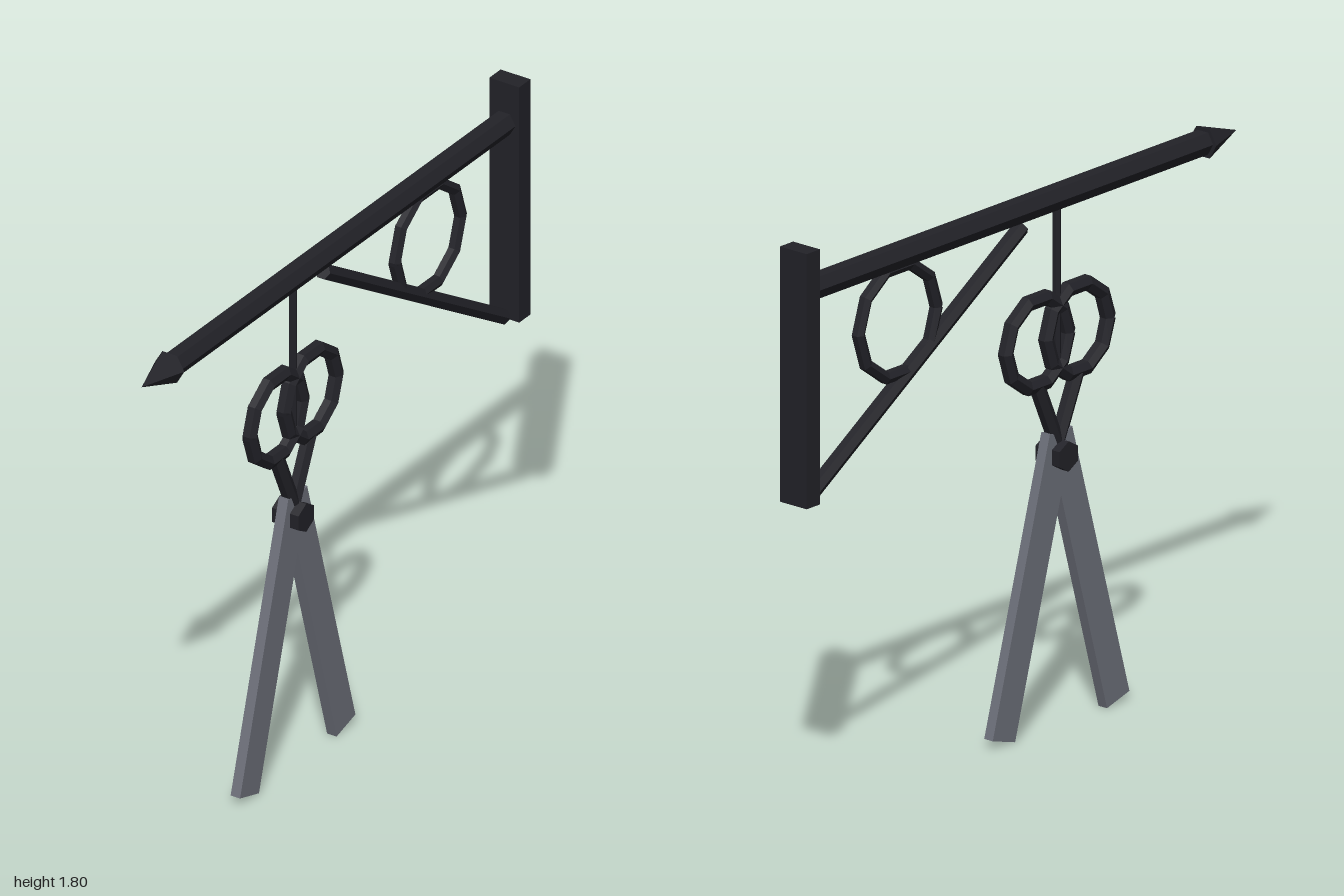
import * as THREE from 'three';

const iron = new THREE.MeshStandardMaterial({ color: 0x222228, flatShading: true, side: THREE.DoubleSide });
const steel = new THREE.MeshStandardMaterial({ color: 0x6d707a, flatShading: true });

export function createModel() {
  const model = new THREE.Group();
  model.name = 'hangingScissorsSign';

  const add = (name, geometry, material = iron, x = 0, y = 0, z = 0) => {
    const mesh = new THREE.Mesh(geometry, material);
    mesh.name = name;
    mesh.position.set(x, y, z);
    model.add(mesh);
    return mesh;
  };

  // Six-sided bar in the yz plane from [z, y] to [z, y]
  const bar = (name, [z0, y0], [z1, y1], r0, r1 = r0) => {
    const dz = z1 - z0, dy = y1 - y0;
    const g = new THREE.CylinderGeometry(r1, r0, Math.hypot(dz, dy), 6);
    g.rotateY(Math.PI / 2);
    g.rotateX(Math.atan2(dz, dy));
    return add(name, g, iron, 0, (y0 + y1) / 2, (z0 + z1) / 2);
  };

  // Ten-sided bent-bar ring whose square-cut ends leave a small notch facing +z
  const ring = (name, z, y, radius, tube) => {
    const sides = 6, steps = 10;
    const g = new THREE.TorusGeometry(radius, tube, sides, steps);
    const p = g.attributes.position;
    for (let j = 0; j <= sides; j++) {
      const v = (j / sides) * Math.PI * 2 + Math.PI / 2;
      for (let i = 0; i <= steps; i++) {
        const u = (i / steps) * Math.PI * 2;
        const cut = i === 0 ? Math.PI / steps : i === steps ? -Math.PI / steps : 0;
        const out = tube * Math.cos(v);
        p.setXYZ(j * (steps + 1) + i,
          radius * Math.cos(u) + out * Math.cos(u + cut),
          radius * Math.sin(u) + out * Math.sin(u + cut),
          tube * Math.sin(v));
      }
    }
    g.rotateY(-Math.PI / 2);
    g.computeVertexNormals();
    return add(name, g, iron, 0, y, z);
  };

  // Wall bracket
  add('wallPost', new THREE.BoxGeometry(0.107, 0.805, 0.06), iron, 0, 1.4, -0.97);
  bar('beam', [-0.95, 1.665], [0.86, 1.665], 0.04);
  bar('beamPoint', [0.85, 1.665], [1, 1.665], 0.053, 0);
  bar('brace', [0.03, 1.61], [-0.935, 1.005], 0.026);
  ring('braceRing', -0.53, 1.46, 0.176, 0.021);

  // Hanging rod
  const cz = 0.19;
  bar('hangingRod', [cz, 1.65], [cz, 1.13], 0.013);

  // Scissors: mirrored finger rings, handle arms and blades
  for (const s of [1, -1]) {
    const side = s > 0 ? 'front' : 'rear';
    ring(side + 'FingerRing', cz + s * 0.091, 1.227, 0.14, 0.025);
    bar(side + 'HandleArm', [cz + s * 0.09, 1.09], [cz - s * 0.012, 0.86], 0.025);
    const top = [cz, 0.917], tip = [cz + s * 0.258, 0.0145];
    const dz = tip[0] - top[0], dy = top[1] - tip[1];
    const blade = add(side + 'Blade', new THREE.BoxGeometry(0.034, Math.hypot(dz, dy), 0.105), steel,
      0, (top[1] + tip[1]) / 2, (top[0] + tip[0]) / 2);
    blade.rotation.x = -Math.atan2(dz, dy);
  }

  // Pivot bolt
  const bolt = new THREE.CylinderGeometry(0.048, 0.048, 0.095, 6);
  bolt.rotateY(Math.PI / 2);
  bolt.rotateZ(Math.PI / 2);
  add('pivotBolt', bolt, iron, 0, 0.855, cz);

  return model;
}
